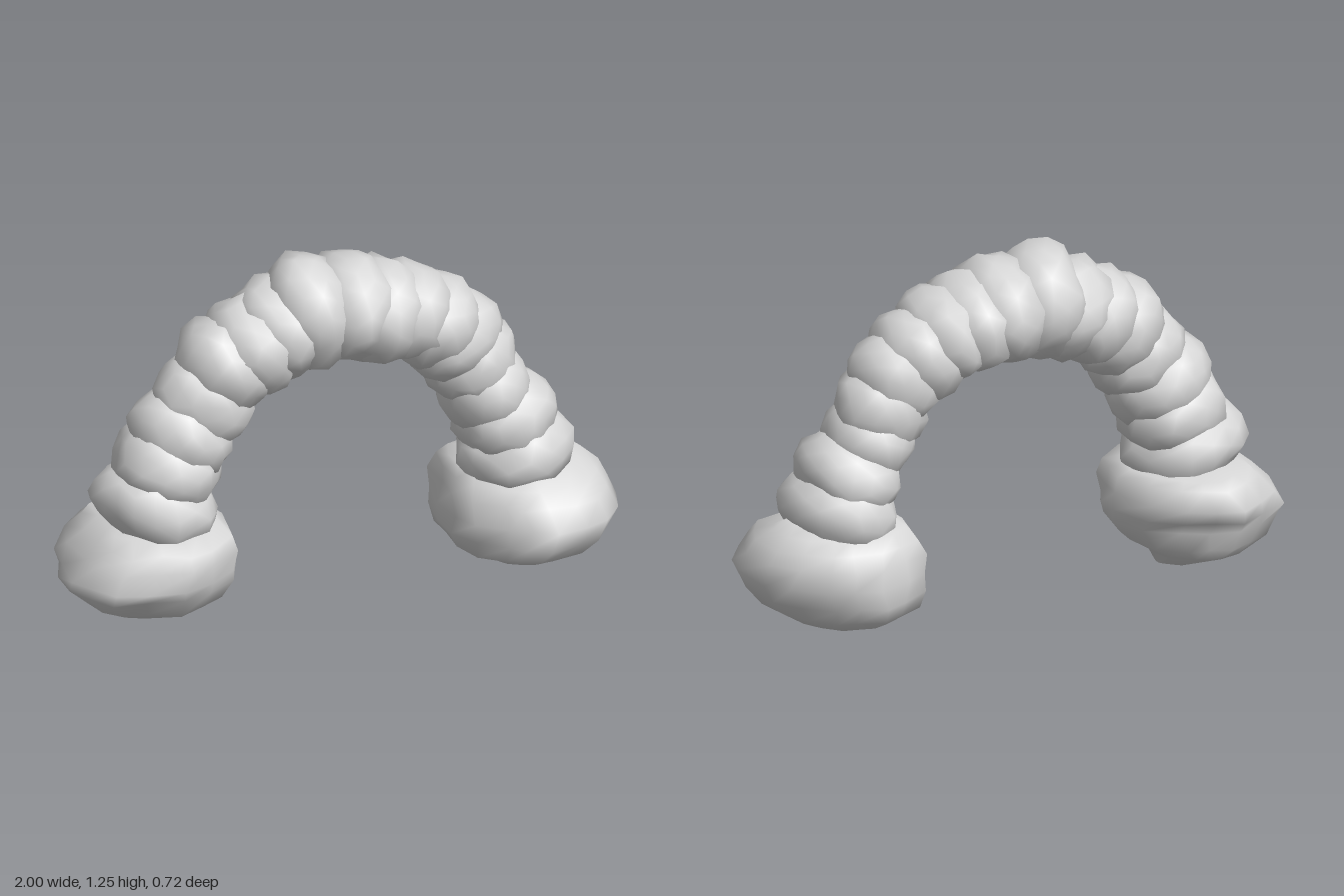
import * as THREE from 'three';
import { mergeVertices } from 'three/addons/utils/BufferGeometryUtils.js';

const stone = new THREE.MeshStandardMaterial({ color: 0xd6d6d6 });
stone.name = 'grey stone';

function seeded(seed) {
  let s = seed * 7919 + 17;
  for (let i = 0; i < 5; i++) s = (s * 16807) % 2147483647;
  return () => {
    s = (s * 16807) % 2147483647;
    return s / 2147483647;
  };
}

// Smooth-shaded lump: a unit sphere pushed in and out by broad waves and fine grit
function rockGeometry(seed) {
  const rand = seeded(seed);
  let g = new THREE.IcosahedronGeometry(1, 2);
  g.deleteAttribute('uv');
  g.deleteAttribute('normal');
  g = mergeVertices(g, 1e-4);
  g.rotateY(rand() * 6);
  g.rotateX(rand() * 6);
  const phase = [rand() * 6, rand() * 6, rand() * 6];
  const p = g.attributes.position;
  const v = new THREE.Vector3();
  for (let i = 0; i < p.count; i++) {
    v.fromBufferAttribute(p, i);
    const wave = Math.sin(v.x * 3 + phase[0]) + Math.sin(v.y * 3 + phase[1]) + Math.sin(v.z * 3 + phase[2]);
    v.multiplyScalar(1 + 0.016 * wave + 0.065 * (rand() * 2 - 1));
    p.setXYZ(i, v.x, v.y, v.z);
  }
  return g;
}

// Boulder lofted through layers [y, xMin, xMax, zMin, zMax]; plan is its outline seen from above, within -1..1
function boulderGeometry(seed, plan, layers) {
  const rand = seeded(seed);
  const sides = plan.length;
  const grit = () => (rand() - 0.5) * 0.022;
  const pos = [];
  const index = [];
  layers.forEach(([y, x0, x1, z0, z1]) => {
    plan.forEach(([px, pz]) => pos.push(
      (x0 + x1) / 2 + px * (x1 - x0) / 2 + grit(),
      y + grit() * 0.4,
      (z0 + z1) / 2 + pz * (z1 - z0) / 2 + grit(),
    ));
  });
  for (let j = 0; j < layers.length - 1; j++) {
    for (let i = 0; i < sides; i++) {
      const a = j * sides + i;
      const b = j * sides + (i + 1) % sides;
      index.push(a, a + sides, b, b, a + sides, b + sides);
    }
  }
  // Close the bottom and the top
  const cap = (layer, start, up) => {
    const c = pos.length / 3;
    pos.push((layer[1] + layer[2]) / 2, layer[0], (layer[3] + layer[4]) / 2);
    for (let i = 0; i < sides; i++) {
      const a = start + i;
      const b = start + (i + 1) % sides;
      if (up) index.push(c, b, a);
      else index.push(c, a, b);
    }
  };
  cap(layers[0], 0, false);
  cap(layers[layers.length - 1], (layers.length - 1) * sides, true);
  const g = new THREE.BufferGeometry();
  g.setAttribute('position', new THREE.Float32BufferAttribute(pos, 3));
  g.setIndex(index);
  return g;
}

export function createModel() {
  const group = new THREE.Group();
  group.name = 'rockArch';
  const add = (g, name) => {
    g.computeVertexNormals();
    const m = new THREE.Mesh(g, stone);
    m.name = name;
    group.add(m);
    return m;
  };

  // Broad boulders under both ends
  const rightPlan = [
    [1, 0], [0.97, 0.3], [0.85, 0.6], [0.45, 0.86], [0.08, 1], [-0.35, 0.85],
    [-0.73, 0.8], [-0.93, 0.5], [-1, 0.2], [-0.97, -0.25], [-0.83, -0.63],
    [-0.48, -0.86], [-0.12, -1], [0.2, -0.88], [0.5, -0.74], [0.85, -0.46],
  ];
  add(boulderGeometry(3, rightPlan, [
    [0.006, -0.69, -0.55, -0.1, 0.03], [0.05, -0.84, -0.54, -0.22, 0.15],
    [0.1, -0.92, -0.45, -0.28, 0.26], [0.17, -0.995, -0.4, -0.29, 0.31],
    [0.21, -0.99, -0.4, -0.31, 0.33], [0.275, -0.95, -0.4, -0.36, 0.33],
    [0.33, -0.9, -0.42, -0.31, 0.31], [0.36, -0.85, -0.46, -0.26, 0.2],
    [0.38, -0.78, -0.54, -0.15, 0.1],
  ]), 'rightFootBoulder');
  const leftPlan = [
    [1, 0.26], [0.87, 0.55], [0.62, 0.85], [0.3, 0.93], [-0.09, 1], [-0.35, 0.87],
    [-0.57, 0.72], [-0.85, 0.45], [-1, 0.1], [-1, -0.3], [-0.93, -0.75],
    [-0.6, -0.9], [-0.24, -1], [0.1, -0.92], [0.38, -0.82], [0.7, -0.55], [0.94, -0.25],
  ];
  add(boulderGeometry(8, leftPlan, [
    [0.015, 0.58, 0.74, -0.11, 0.11], [0.04, 0.5, 0.84, -0.2, 0.21],
    [0.08, 0.44, 0.91, -0.25, 0.3], [0.14, 0.42, 0.965, -0.28, 0.345],
    [0.21, 0.415, 0.995, -0.29, 0.36], [0.28, 0.42, 0.97, -0.28, 0.31],
    [0.33, 0.44, 0.94, -0.25, 0.26], [0.37, 0.46, 0.9, -0.2, 0.18],
    [0.4, 0.52, 0.84, -0.1, 0.1],
  ]), 'leftFootBoulder');

  // Overlapping stones along the arch: x, y, radius across, radius in z
  const stones = [
    [-0.67, 0.42, 0.22, 0.22], [-0.62, 0.55, 0.185, 0.21], [-0.57, 0.66, 0.19, 0.185],
    [-0.49, 0.78, 0.18, 0.165], [-0.41, 0.89, 0.19, 0.18], [-0.31, 0.95, 0.185, 0.19],
    [-0.21, 1.0, 0.185, 0.2], [-0.1, 1.04, 0.205, 0.215], [0.05, 1.035, 0.195, 0.225],
    [0.16, 1.01, 0.18, 0.215], [0.26, 0.98, 0.175, 0.2], [0.36, 0.93, 0.175, 0.18],
    [0.44, 0.86, 0.17, 0.17], [0.5, 0.76, 0.165, 0.16], [0.55, 0.65, 0.16, 0.17],
    [0.62, 0.54, 0.18, 0.2], [0.655, 0.42, 0.205, 0.22],
  ];
  stones.forEach(([x, y, across, depth], i) => {
    const a = stones[Math.max(i - 1, 0)];
    const b = stones[Math.min(i + 1, stones.length - 1)];
    const g = rockGeometry(20 + i);
    // Slightly flattened along the run of the arch
    g.scale(0.155, across, depth);
    const m = add(g, 'archStone' + (i + 1));
    m.rotation.z = Math.atan2(b[1] - a[1], b[0] - a[0]);
    m.position.set(x, y, 0.01);
  });
  return group;
}
